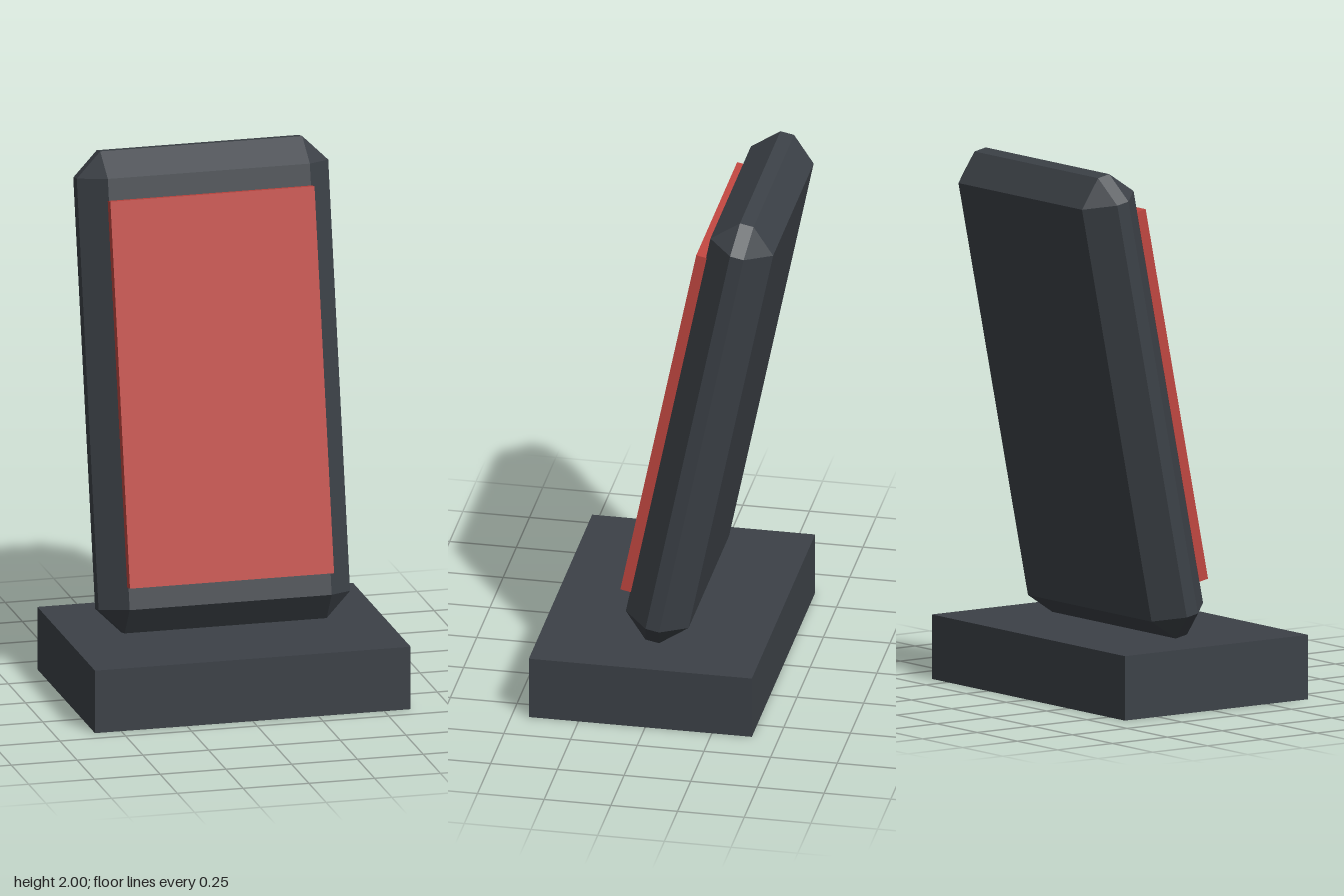
import * as THREE from 'three';
import { ConvexGeometry } from 'three/addons/geometries/ConvexGeometry.js';

// Box with every edge cut by a flat chamfer c; w, h, d are half sizes
function chamferedBox(w, h, d, c) {
  const points = [];
  for (const sx of [-1, 1]) for (const sy of [-1, 1]) for (const sz of [-1, 1]) {
    points.push(
      new THREE.Vector3(sx * w, sy * (h - c), sz * (d - c)),
      new THREE.Vector3(sx * (w - c), sy * h, sz * (d - c)),
      new THREE.Vector3(sx * (w - c), sy * (h - c), sz * d)
    );
  }
  return new ConvexGeometry(points);
}

export function createModel() {
  const charcoal = new THREE.MeshStandardMaterial({ color: 0x3c4147 });
  charcoal.name = 'charcoal';
  const red = new THREE.MeshStandardMaterial({ color: 0xbf4640 });
  red.name = 'red';

  const model = new THREE.Group();
  model.name = 'displayStand';
  const add = (parent, name, geometry, material, x, y, z) => {
    const mesh = new THREE.Mesh(geometry, material);
    mesh.name = name;
    mesh.position.set(x, y, z);
    parent.add(mesh);
  };

  // Plinth
  add(model, 'base', new THREE.BoxGeometry(1.2, 0.24, 0.836), charcoal, 0, 0.12, 0.018);

  // Panel leaning backwards, with its raised front plate
  const panel = new THREE.Group();
  panel.name = 'tiltedPanel';
  panel.position.set(0, 1.12, -0.161);
  panel.rotation.x = -0.2;
  add(panel, 'housing', chamferedBox(0.478, 0.892, 0.12, 0.094), charcoal, 0, 0, 0);
  add(panel, 'screen', new THREE.BoxGeometry(0.776, 1.432, 0.04), red, 0, 0.001, 0.137);
  model.add(panel);

  return model;
}
